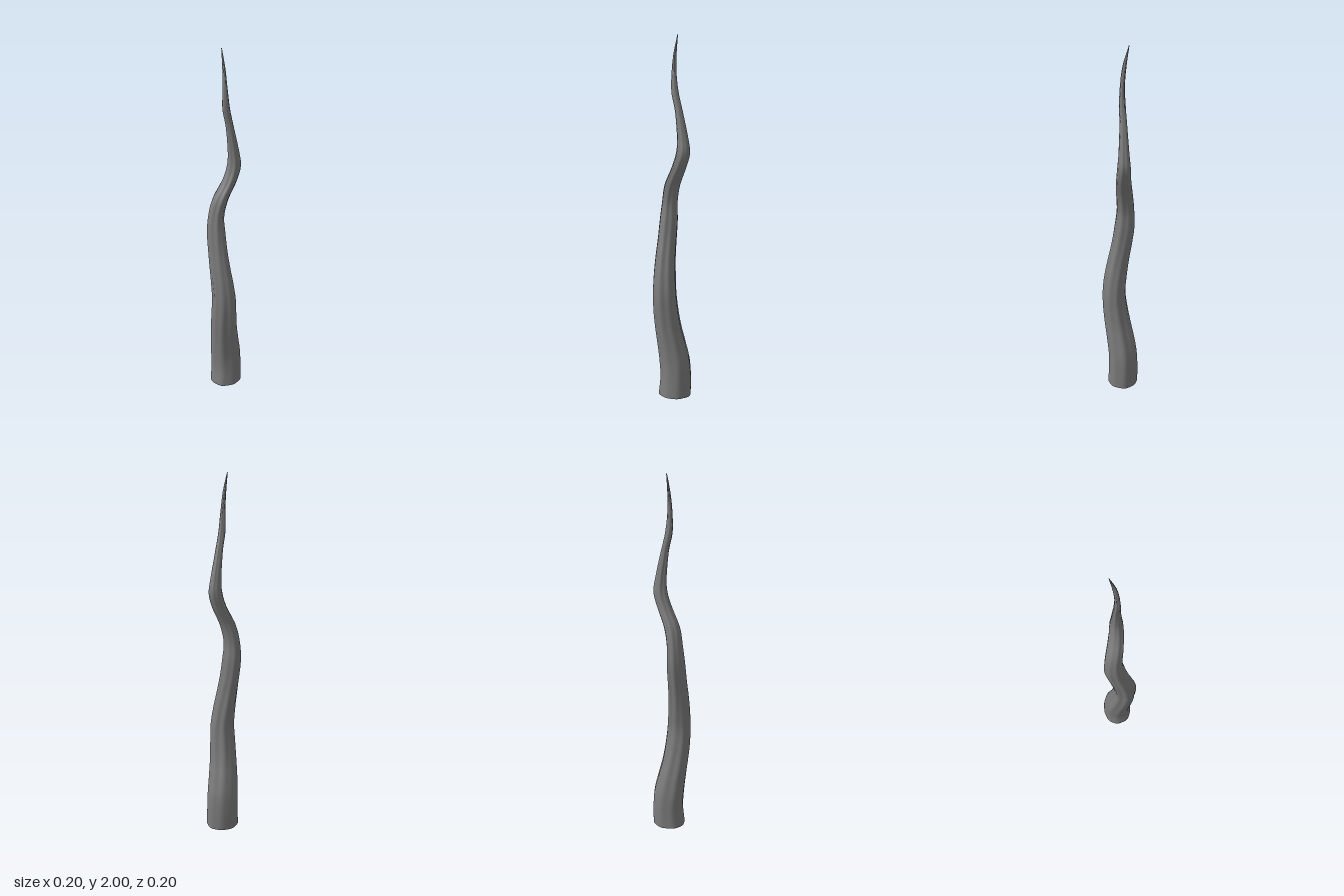
import * as THREE from 'three';

// Height, then x range and z range of the stem at that height
const SECTIONS = [
  [0, -0.09, 0.10, -0.10, 0.077], [0.1, -0.08, 0.10, -0.10, 0.072],
  [0.2, -0.085, 0.095, -0.095, 0.072], [0.3, -0.09, 0.075, -0.08, 0.08],
  [0.4, -0.096, 0.054, -0.06, 0.09], [0.5, -0.10, 0.042, -0.043, 0.098],
  [0.6, -0.10, 0.034, -0.032, 0.10], [0.7, -0.10, 0.022, -0.04, 0.09],
  [0.8, -0.10, 0.01, -0.053, 0.07], [0.9, -0.098, 0.003, -0.07, 0.048],
  [1.0, -0.096, 0, -0.083, 0.031], [1.1, -0.086, -0.003, -0.081, 0.018],
  [1.2, -0.064, 0.02, -0.07, 0.022], [1.3, -0.011, 0.068, -0.055, 0.026],
  [1.38, 0.018, 0.094, -0.049, 0.023], [1.46, 0.023, 0.084, -0.041, 0.016],
  [1.6, 0.009, 0.051, -0.031, 0.009], [1.7, -0.013, 0.027, -0.025, 0.009],
  [1.8, -0.013, 0.014, -0.021, 0.004], [1.9, -0.008, 0.007, -0.029, -0.009],
  [2, -0.002, 0.002, -0.043, -0.04],
];
const SIDES = 64, RINGS = 120;

const curve = (points) => new THREE.CatmullRomCurve3(points, false, 'catmullrom', 0.5);

function stemGeometry() {
  const spine = curve(SECTIONS.map(([y, x0, x1, z0, z1]) =>
    new THREE.Vector3((x0 + x1) / 2, y, (z0 + z1) / 2)));
  const radii = curve(SECTIONS.map(([, x0, x1, z0, z1]) =>
    new THREE.Vector3((x1 - x0) / 2, 0, (z1 - z0) / 2)));

  const positions = [], index = [];
  for (let j = 0; j <= RINGS; j++) {
    const t = j / RINGS, c = spine.getPoint(t), r = radii.getPoint(t);
    // Ridges are shallow at the base and deepen up the stem
    const depth = THREE.MathUtils.lerp(0.4, 1, THREE.MathUtils.smoothstep(c.y, 0, 0.5));
    for (let i = 0; i < SIDES; i++) {
      const a = (i / SIDES) * Math.PI * 2;
      // Uneven lengthwise ridges that twist slowly
      const ridge = 0.98 + depth * (0.035 * Math.cos(8 * a + 2.5 * c.y)
        + 0.025 * Math.cos(5 * a - 3 * c.y + 1));
      positions.push(c.x + r.x * ridge * Math.cos(a), c.y, c.z + r.z * ridge * Math.sin(a));
      if (j < RINGS) {
        const p = j * SIDES + i, q = j * SIDES + (i + 1) % SIDES;
        index.push(p, p + SIDES, q, q, p + SIDES, q + SIDES);
      }
    }
  }
  const geometry = new THREE.BufferGeometry();
  geometry.setAttribute('position', new THREE.Float32BufferAttribute(positions, 3));
  geometry.setIndex(index);
  geometry.computeVertexNormals();
  return geometry;
}

export function createModel() {
  const group = new THREE.Group();
  group.name = 'twistedHorn';
  // Open at the base, so both faces show
  const material = new THREE.MeshStandardMaterial({ color: 0x7c7c7c, side: THREE.DoubleSide });
  const stem = new THREE.Mesh(stemGeometry(), material);
  stem.name = 'hornStem';
  group.add(stem);
  return group;
}
